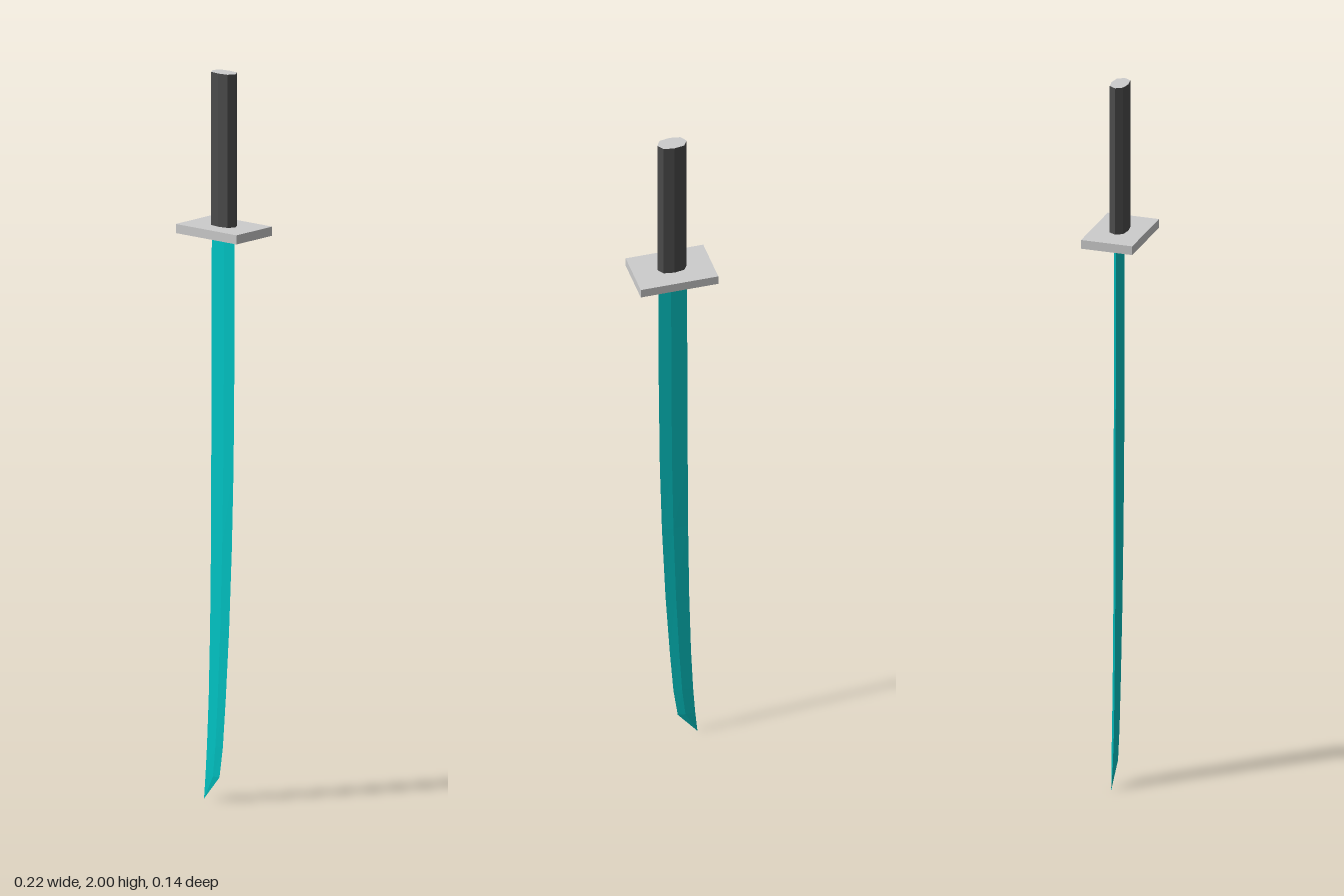
import * as THREE from 'three';

const mat = (name, color) => {
  const m = new THREE.MeshStandardMaterial({ color });
  m.name = name;
  m.flatShading = true;
  return m;
};

// Blade rows from guard to tip: [y, spine x, edge x, half thickness]
const ROWS = [
  [1.56, -0.041, 0.037, 0.004],
  [1.2, -0.042, 0.037, 0.004],
  [0.92, -0.043, 0.034, 0.004],
  [0.7, -0.044, 0.028, 0.004],
  [0.47, -0.047, 0.018, 0.004],
  [0.28, -0.052, 0.006, 0.004],
  [0.15, -0.058, -0.004, 0.004],
  [0.066, -0.064, -0.016, 0.003],
  [0, -0.071, -0.071, 0],
];

function bladeGeometry() {
  const pos = [], idx = [], n = 5;
  for (const [y, spine, edge, t] of ROWS) {
    const ridge = spine + (edge - spine) * 0.57;
    // flat spine, central ridge on each side, sharp edge
    pos.push(spine, y, t * 0.7, ridge, y, t, edge, y, 0, ridge, y, -t, spine, y, -t * 0.7);
  }
  for (let i = 0; i < ROWS.length - 1; i++) {
    for (let j = 0; j < n; j++) {
      const a = i * n + j, b = i * n + (j + 1) % n;
      idx.push(a, a + n, b);
      if (i < ROWS.length - 2) idx.push(b, a + n, b + n);
    }
  }
  const g = new THREE.BufferGeometry();
  g.setAttribute('position', new THREE.Float32BufferAttribute(pos, 3));
  g.setIndex(idx);
  g.computeVertexNormals();
  return g;
}

export function createModel() {
  const group = new THREE.Group();
  group.name = 'sword';
  const teal = mat('bladeTeal', 0x00c8c8);
  const grey = mat('guardGrey', 0xcccccc);
  const dark = mat('gripDark', 0x4c4c4c);

  const add = (name, geometry, material) => {
    const mesh = new THREE.Mesh(geometry, material);
    mesh.name = name;
    group.add(mesh);
    return mesh;
  };

  add('blade', bladeGeometry(), teal);

  // Rectangular guard plate
  add('guard', new THREE.BoxGeometry(0.216, 0.025, 0.145), grey).position.y = 1.568;

  // Eight-sided grip with a pale end cap
  const outline = new THREE.Shape([
    [0.041, 0], [0.029, 0.019], [0, 0.024], [-0.029, 0.019],
    [-0.041, 0], [-0.029, -0.019], [0, -0.024], [0.029, -0.019],
  ].map(([x, y]) => new THREE.Vector2(x, y)));
  const grip = new THREE.ExtrudeGeometry(outline, { depth: 0.42, bevelEnabled: false });
  grip.rotateX(-Math.PI / 2);
  add('grip', grip, [grey, dark]).position.y = 1.58;

  return group;
}
